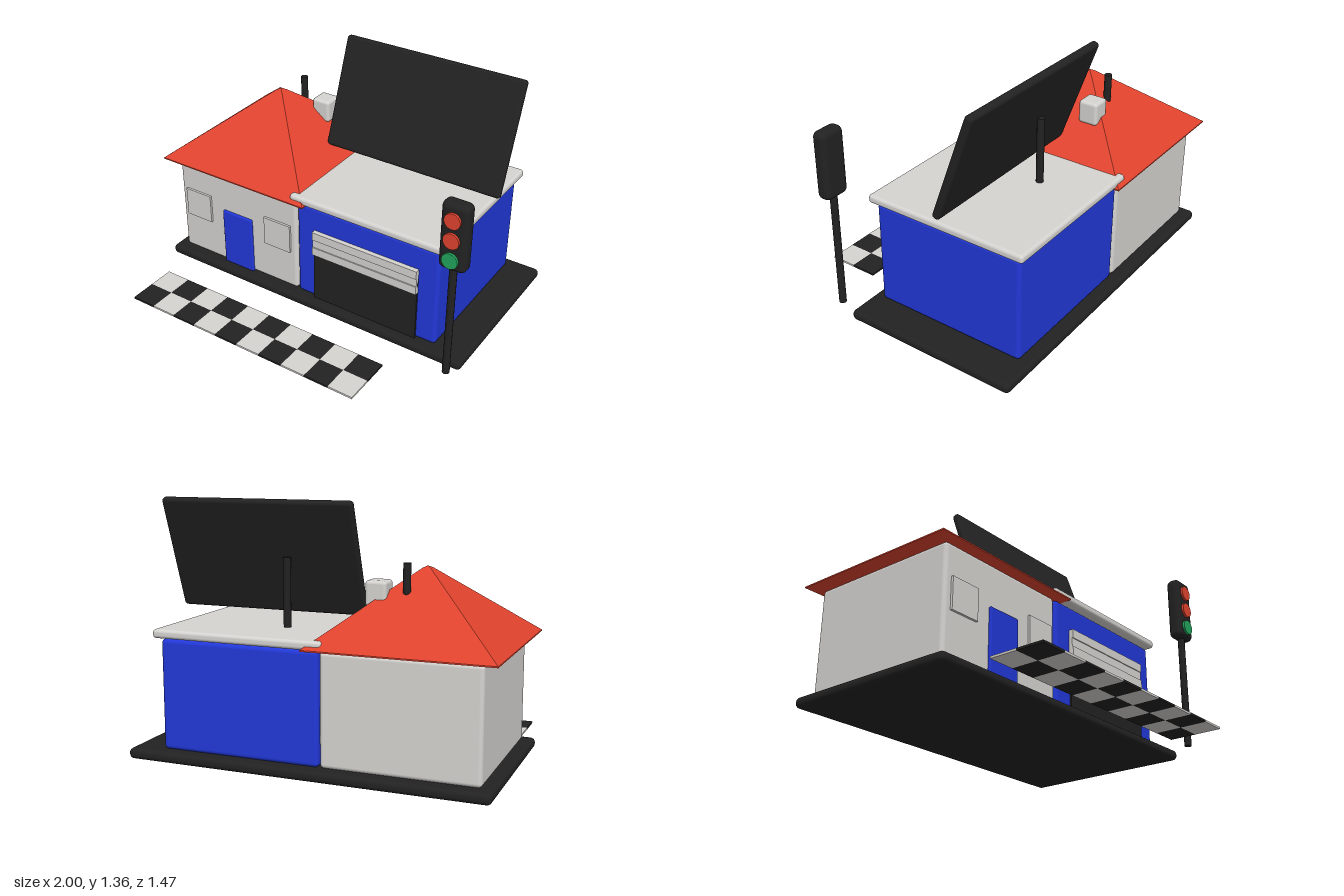
import * as THREE from 'three';
import { RoundedBoxGeometry } from 'three/addons/geometries/RoundedBoxGeometry.js';

const mat = (name, color) => {
  const m = new THREE.MeshStandardMaterial({ color });
  m.name = name;
  return m;
};

export function createModel() {
  const dark = mat('charcoal', 0x222222);
  const pale = mat('pale grey', 0xd6d4d1);
  const blue = mat('blue', 0x2238d8);
  const red = mat('red', 0xe0432e);
  const green = mat('green', 0x22a55c);

  const model = new THREE.Group();
  model.name = 'garageHouse';

  const add = (name, geometry, material, parent = model) => {
    const mesh = new THREE.Mesh(geometry, material);
    mesh.name = name;
    parent.add(mesh);
    return mesh;
  };
  // Box given by its extents; r rounds the edges
  const box = (name, material, [x0, x1], [y0, y1], [z0, z1], r = 0, parent = model) => {
    const size = [x1 - x0, y1 - y0, z1 - z0];
    const geometry = r ? new RoundedBoxGeometry(...size, 3, r) : new THREE.BoxGeometry(...size);
    const mesh = add(name, geometry, material, parent);
    mesh.position.set((x0 + x1) / 2, (y0 + y1) / 2, (z0 + z1) / 2);
    return mesh;
  };
  const post = (name, x, z, y0, y1, parent = model) => {
    const mesh = add(name, new THREE.CylinderGeometry(0.02, 0.02, y1 - y0, 12), dark, parent);
    mesh.position.set(x, (y0 + y1) / 2, z);
    return mesh;
  };

  box('base', dark, [-0.985, 0.955], [0.003, 0.06], [-0.735, 0.265], 0.025);

  // House with door and raised window panels
  const house = new THREE.Group();
  house.name = 'house';
  model.add(house);
  box('houseWalls', pale, [-0.925, -0.107], [0.06, 0.645], [-0.672, 0.203], 0.022, house);
  box('frontDoor', blue, [-0.617, -0.413], [0.062, 0.412], [0.18, 0.218], 0.008, house);
  for (const x of [-0.795, -0.235]) {
    box('windowPanel', pale, [x - 0.088, x + 0.088], [0.298, 0.47], [0.19, 0.216], 0, house);
  }

  // Four-sided roof with a slightly blunted tip
  const profile = [[0, 0.65], [1, 0.65], [1, 0.657], [0.045, 1.022], [0, 1.033]]
    .map(([r, y]) => new THREE.Vector2(r * Math.SQRT2, y));
  const roofGeometry = new THREE.LatheGeometry(profile, 4, Math.PI / 4).toNonIndexed();
  roofGeometry.scale(0.485, 1, 0.49);
  roofGeometry.computeVertexNormals();
  add('houseRoof', roofGeometry, red, house).position.set(-0.515, 0, -0.235);
  box('chimney', pale, [-0.367, -0.255], [0.84, 0.97], [-0.442, -0.33], 0.018, house);
  post('roofPipe', -0.458, -0.388, 0.7, 1.06, house);

  // Garage with half-raised shutter
  const garage = new THREE.Group();
  garage.name = 'garage';
  model.add(garage);
  box('garageWalls', blue, [-0.1, 0.775], [0.06, 0.645], [-0.672, 0.205], 0.022, garage);
  box('garageOpening', dark, [0.015, 0.66], [0.062, 0.5], [0.19, 0.216], 0, garage);
  for (let i = 0; i < 3; i++) {
    const y = 0.36 + i * 0.0483;
    const front = i === 1 ? 0.226 : 0.232;
    box('shutterSlat', pale, [0.015, 0.66], [y, y + 0.0483], [0.19, front], 0, garage);
  }
  box('garageRoof', pale, [-0.13, 0.805], [0.652, 0.699], [-0.705, 0.235], 0.018, garage);

  // Tilted billboard on its post
  post('billboardPost', 0.19, -0.386, 0.69, 1.06);
  const board = box('billboard', dark, [-0.2, 0.87], [0.746, 1.374], [-0.375, -0.33], 0.018);
  board.rotation.x = -THREE.MathUtils.degToRad(19.8);

  // Signal with three lamps
  const signal = new THREE.Group();
  signal.name = 'trafficLight';
  model.add(signal);
  post('signalPole', 0.922, 0.354, 0.062, 0.73, signal);
  box('signalHead', dark, [0.85, 0.998], [0.712, 1.087], [0.312, 0.395], 0.032, signal);
  [[0.78, green], [0.892, red], [1.002, red]].forEach(([y, material]) => {
    const lamp = add('lamp', new THREE.CylinderGeometry(0.043, 0.043, 0.03, 24), material, signal);
    lamp.rotation.x = Math.PI / 2;
    lamp.position.set(0.922, y, 0.393);
  });

  // Chequered line on the ground
  const line = new THREE.Group();
  line.name = 'chequeredLine';
  model.add(line);
  const w = 0.147;
  for (let row = 0; row < 2; row++) {
    for (let col = 0; col < 10; col++) {
      const x = -0.87 + col * w;
      const z = 0.44 + row * w;
      box('chequer', (row + col) % 2 ? dark : pale, [x, x + w], [0.002, 0.013], [z, z + w], 0, line);
    }
  }

  return model;
}
